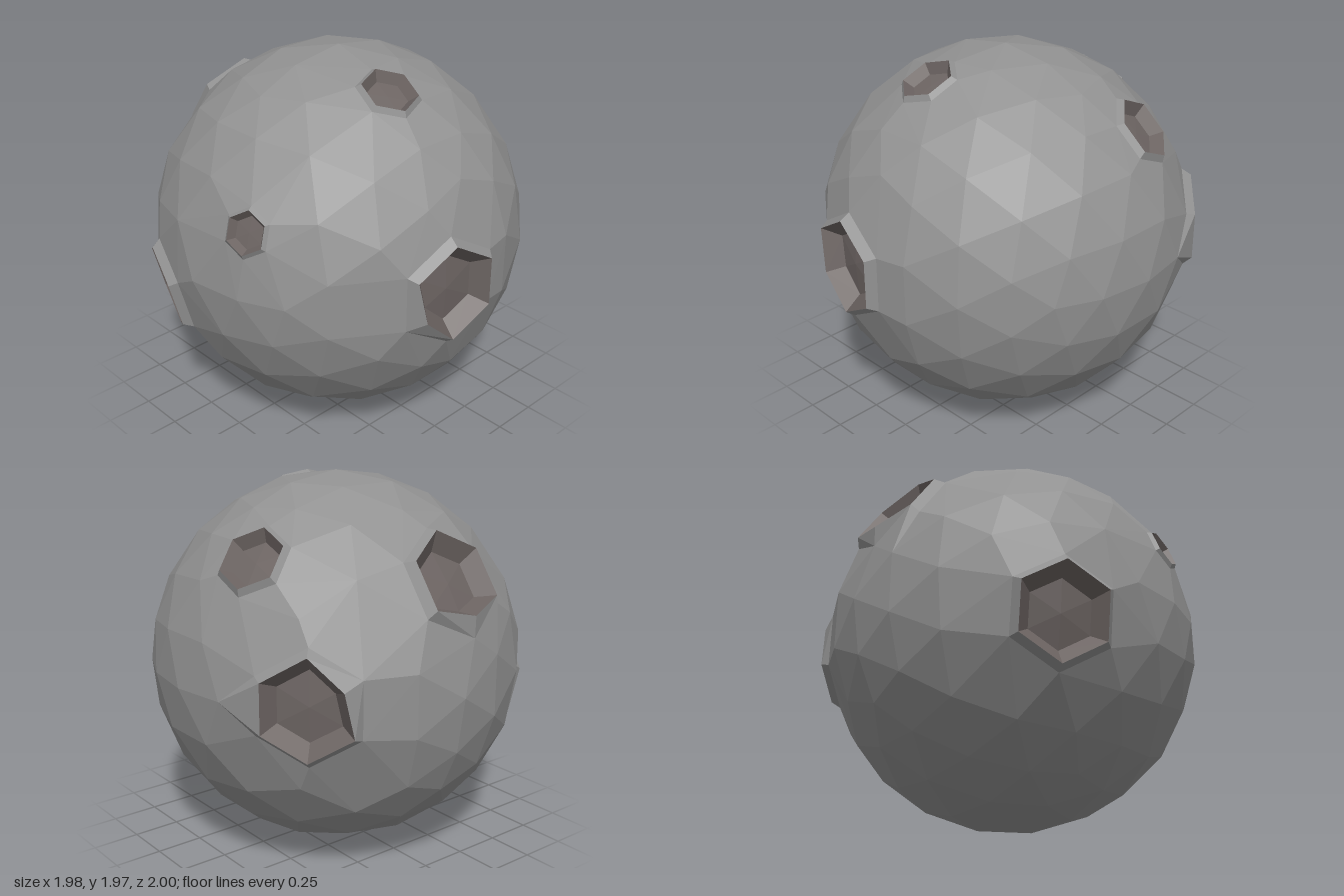
import * as THREE from 'three';
import { ConvexGeometry } from 'three/addons/geometries/ConvexGeometry.js';

const RADIUS = 0.985;
const CENTER = new THREE.Vector3(0.005, 0.99, -0.01);

// Craters: direction from the centre, outer radius, index of a corner pushed inwards
const CRATERS = [
  { dir: [-0.16, 0.01, 0.97], size: 0.3, dent: 4 },
  { dir: [0.71, 0.01, -0.68], size: 0.3, dent: 1 },
  { dir: [0.73, 0.67, -0.26], size: 0.2, dent: -1 },
  { dir: [-0.09, 0.88, 0.45], size: 0.17, dent: -1 },
  { dir: [-0.08, 0.54, -0.82], size: 0.3, dent: 3 },
  { dir: [-0.87, 0.34, 0.3], size: 0.13, dent: -1 },
  { dir: [-0.88, -0.23, -0.38], size: 0.29, dent: -1 },
];

// Crater rings: share of the outer radius, height above the ground, belongs to the hollow
const RINGS = [
  { share: 1, lift: 0, inner: false },
  { share: 0.84, lift: 0.13, inner: true },
  { share: 0.65, lift: -0.2, inner: true },
];

const keyOf = (v) => [v.x, v.y, v.z].map((n) => Math.round(n * 2000)).join();

export function createModel() {
  const rock = new THREE.MeshStandardMaterial({ color: 0x929292 });
  rock.name = 'grey rock';
  const hollow = new THREE.MeshStandardMaterial({ color: 0x6c6462 });
  hollow.name = 'dark crater';

  // Unit directions of all surface points, with their height and kind
  const points = new Map();
  const add = (dir, height, inner) => points.set(keyOf(dir), { dir, height, inner });
  const up = new THREE.Vector3(0, 1, 0);
  const centers = CRATERS.map((c) => new THREE.Vector3(...c.dir).normalize());

  // Evenly spread ground points, left out around the craters
  const ico = new THREE.IcosahedronGeometry(1, 3).attributes.position;
  for (let i = 0; i < ico.count; i++) {
    const p = new THREE.Vector3().fromBufferAttribute(ico, i).normalize();
    if (centers.every((c, k) => c.angleTo(p) > CRATERS[k].size * 1.4)) add(p, RADIUS, false);
  }

  // Six-cornered rings for the foot, rim and floor of each crater
  CRATERS.forEach(({ size, dent }, n) => {
    const c = centers[n];
    const u = up.clone().addScaledVector(c, -up.dot(c)).normalize();
    const v = new THREE.Vector3().crossVectors(u, c);
    for (const { share, lift, inner } of RINGS) {
      for (let k = 0; k < 6; k++) {
        const t = (k * Math.PI) / 3;
        const a = size * share * (inner && k === dent ? 0.78 : 1);
        const p = c.clone().multiplyScalar(Math.cos(a))
          .addScaledVector(u, Math.cos(t) * Math.sin(a))
          .addScaledVector(v, Math.sin(t) * Math.sin(a));
        add(p, RADIUS + lift * size, inner);
      }
    }
    add(c, RADIUS - 0.21 * size, true);
  });

  // Join the points into triangles on the unit sphere, then raise or sink each corner
  const hull = new ConvexGeometry([...points.values()].map((p) => p.dir)).attributes.position;
  const ground = [];
  const pits = [];
  const d = new THREE.Vector3();
  for (let i = 0; i < hull.count; i += 3) {
    const corners = [0, 1, 2].map((j) => {
      d.fromBufferAttribute(hull, i + j);
      let found = points.get(keyOf(d));
      if (!found) {
        // Rounding fallback: nearest point
        for (const p of points.values()) {
          if (!found || p.dir.distanceToSquared(d) < found.dir.distanceToSquared(d)) found = p;
        }
      }
      return found;
    });
    const target = corners.every((p) => p.inner) ? pits : ground;
    for (const p of corners) {
      target.push(...p.dir.clone().multiplyScalar(p.height).add(CENTER).toArray());
    }
  }

  const group = new THREE.Group();
  group.name = 'moon';
  const addPart = (name, positions, material) => {
    const geometry = new THREE.BufferGeometry();
    geometry.setAttribute('position', new THREE.Float32BufferAttribute(positions, 3));
    geometry.computeVertexNormals(); // unshared corners give flat faces
    const mesh = new THREE.Mesh(geometry, material);
    mesh.name = name;
    group.add(mesh);
  };
  addPart('ground', ground, rock);
  addPart('craterHollows', pits, hollow);
  return group;
}
